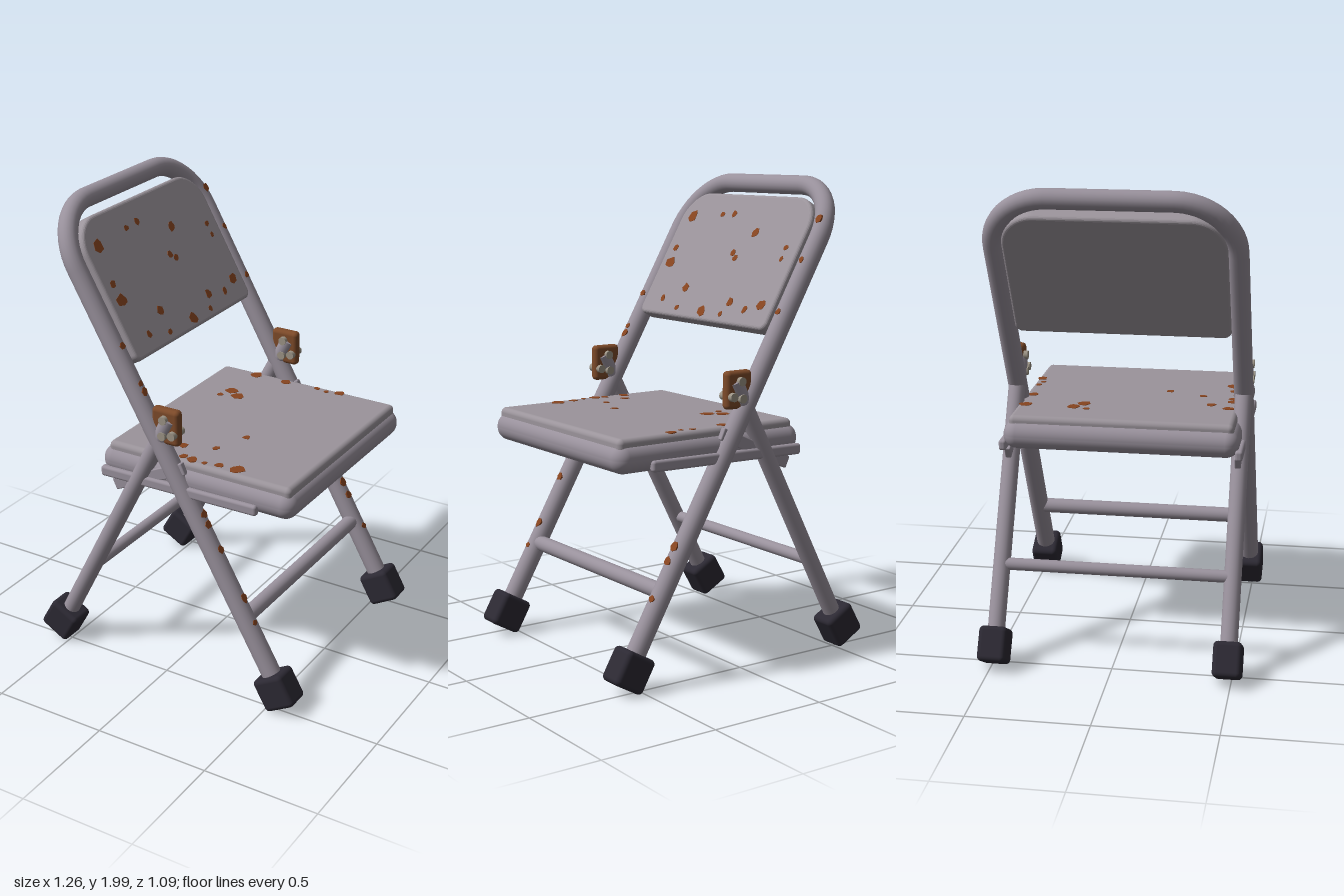
import * as THREE from 'three';
import { RoundedBoxGeometry } from 'three/addons/geometries/RoundedBoxGeometry.js';

const mat = (color) => new THREE.MeshStandardMaterial({ color });
const paint = mat(0x99919c), seatPaint = mat(0x9b949b), rubber = mat(0x2c2933);
const rust = mat(0x87441f), clipRust = mat(0x7d4a29), steel = mat(0x9c9486);

let seed = 7;
const rand = () => (seed = (seed * 16807) % 2147483647) / 2147483647;

function add(parent, name, geometry, material, x = 0, y = 0, z = 0) {
  const mesh = new THREE.Mesh(geometry, material);
  mesh.name = name;
  mesh.position.set(x, y, z);
  parent.add(mesh);
  return mesh;
}

// Round bar between two points
function bar(parent, name, a, b, r, material = paint) {
  const from = new THREE.Vector3(...a), to = new THREE.Vector3(...b);
  const mesh = add(parent, name, new THREE.CylinderGeometry(r, r, from.distanceTo(to), 24), material);
  mesh.position.copy(from).add(to).multiplyScalar(0.5);
  mesh.quaternion.setFromUnitVectors(new THREE.Vector3(0, 1, 0), to.sub(from).normalize());
  return mesh;
}

// Irregular thin flake facing +z
function flake(r, depth) {
  const points = [], n = 6 + Math.floor(rand() * 3);
  for (let i = 0; i < n; i++) {
    const a = (i + 0.5 * rand()) / n * Math.PI * 2, q = r * (0.75 + 0.4 * rand());
    points.push(new THREE.Vector2(Math.cos(a) * q, Math.sin(a) * q));
  }
  return new THREE.ExtrudeGeometry(new THREE.Shape(points), { depth, bevelEnabled: false });
}

// Panel in the back plane with wide top corners and small bottom ones
function panel(halfWidth, bottom, top, rTop, rBottom, depth, bevel) {
  const w = halfWidth - bevel, b = bottom + bevel, t = top - bevel;
  const s = new THREE.Shape();
  s.moveTo(-w + rBottom, b);
  s.lineTo(w - rBottom, b);
  s.absarc(w - rBottom, b + rBottom, rBottom, -Math.PI / 2, 0);
  s.absarc(w - rTop, t - rTop, rTop, 0, Math.PI / 2);
  s.absarc(-w + rTop, t - rTop, rTop, Math.PI / 2, Math.PI);
  s.absarc(-w + rBottom, b + rBottom, rBottom, Math.PI, Math.PI * 1.5);
  return new THREE.ExtrudeGeometry(s, {
    depth: depth - 2 * bevel, bevelThickness: bevel, bevelSize: bevel, bevelSegments: 4, curveSegments: 12,
  }).translate(0, 0, bevel).rotateY(Math.PI / 2);
}

export function createModel() {
  const chair = new THREE.Group();
  chair.name = 'foldingChair';

  // Leaning frame: local y runs up the tube, local x points forward
  const lean = Math.atan2(1.06, 1.86), c = Math.cos(lean);
  const back = new THREE.Group();
  back.name = 'backFrame';
  back.position.set(0.54, 0.1, 0);
  back.rotation.z = lean;
  chair.add(back);

  // Continuous bent tube: both front legs and the top hoop
  const Z = 0.485, top = 2.14, R = 0.24;
  const path = new THREE.CurvePath();
  const v = (y, z) => new THREE.Vector3(0, y, z);
  const k = R * 0.448;
  path.add(new THREE.LineCurve3(v(0, Z), v(top - R, Z)));
  path.add(new THREE.CubicBezierCurve3(v(top - R, Z), v(top - k, Z), v(top, Z - k), v(top, Z - R)));
  path.add(new THREE.LineCurve3(v(top, Z - R), v(top, R - Z)));
  path.add(new THREE.CubicBezierCurve3(v(top, R - Z), v(top, k - Z), v(top - k, -Z), v(top - R, -Z)));
  path.add(new THREE.LineCurve3(v(top - R, -Z), v(0, -Z)));
  add(back, 'bentTube', new THREE.TubeGeometry(path, 160, 0.041, 20), paint);

  // Thick backrest and the front crossbar
  add(back, 'backrest', panel(0.447, 1.458, 2.065, 0.13, 0.02, 0.07, 0.014), seatPaint, -0.025);
  bar(back, 'frontCrossbar', [0, 0.33, -Z], [0, 0.33, Z], 0.033);

  // Rust on the backrest: z, height, size
  const backRust = [
    [0.36, 1.81, 0.03], [0.15, 1.825, 0.015], [0.07, 1.83, 0.016], [-0.13, 1.76, 0.024], [-0.04, 1.67, 0.016],
    [-0.07, 1.65, 0.017], [-0.37, 1.71, 0.014], [-0.37, 1.665, 0.013], [0.38, 1.67, 0.02], [0.375, 1.605, 0.03],
    [0.18, 1.51, 0.021], [0.31, 1.455, 0.016], [0.18, 1.425, 0.014], [0, 1.425, 0.026], [-0.165, 1.475, 0.025],
    [-0.28, 1.455, 0.017], [-0.375, 1.48, 0.028], [-0.135, 1.425, 0.013],
  ];
  for (const [z, y, r] of backRust)
    add(back, 'backrestRust', flake(r, 0.004).rotateY(Math.PI / 2), rust, 0.0425, (y - 0.122) / c, z);

  // Rust on the tubes: side, height
  const tubeRust = [[1, 1.465], [1, 1.32], [1, 1.29], [1, 0.81], [1, 0.77], [1, 0.67], [1, 0.475], [1, 0.38],
    [-1, 1.83], [-1, 1.67], [-1, 1.465], [-1, 0.565], [-1, 0.51], [-1, 0.37]];
  for (const [s, y] of tubeRust)
    add(back, 'tubeRust', flake(0.012 + 0.009 * rand(), 0.008).rotateY(Math.PI / 2), rust,
      0.034, (y - 0.12) / c, s * Z + 0.01 * (rand() - 0.5));

  // Seat: rolled pan with a thinner top pad
  add(chair, 'seatPan', new RoundedBoxGeometry(0.907, 0.118, 0.984, 6, 0.056), paint, 0.134, 0.933, 0);
  add(chair, 'seatPad', new RoundedBoxGeometry(0.855, 0.07, 0.936, 4, 0.022), seatPaint, 0.139, 0.981, 0);

  // Rust on the seat: x, z, size
  const seatRust = [
    [-0.105, -0.43, 0.03], [0.045, -0.43, 0.025], [0.31, -0.445, 0.021], [0.2, -0.44, 0.014], [0.25, -0.43, 0.011],
    [-0.11, -0.225, 0.03], [-0.06, -0.19, 0.03], [-0.135, -0.165, 0.016], [0.185, 0.15, 0.017], [0, 0.345, 0.022],
    [0.13, 0.3, 0.018], [-0.045, 0.425, 0.027], [0.055, 0.43, 0.018], [0.1, 0.435, 0.025], [0.22, 0.425, 0.02],
    [0.3, 0.42, 0.032], [0.16, 0.44, 0.012],
  ];
  for (const [x, z, r] of seatRust)
    add(chair, 'seatRust', flake(r, 0.004).rotateX(-Math.PI / 2), rust, x, 1.0138, z);

  // Rear legs and their crossbar
  bar(chair, 'rearCrossbar', [-0.385, 0.4, -Z], [-0.385, 0.4, Z], 0.026);
  for (const s of [-1, 1]) {
    const z = s * Z;
    bar(chair, 'rearLeg', [-0.535, 0.1, z], [0.03, 1.2, z], 0.036);

    // Rubber feet
    for (const f of [-1, 1]) {
      const foot = add(chair, f > 0 ? 'frontFoot' : 'rearFoot',
        new RoundedBoxGeometry(0.144, 0.146, 0.118, 4, 0.02), rubber, f * 0.54, 0.098, z);
      foot.rotation.z = f * lean;
    }

    // Slide rail along the seat side and the folding link
    const rail = add(chair, 'seatRail', new RoundedBoxGeometry(0.74, 0.046, 0.032, 4, 0.012), paint, 0.065, 0.896, s * 0.492);
    rail.rotation.z = 0.014;
    const link = add(chair, 'foldingLink', new RoundedBoxGeometry(0.37, 0.052, 0.026, 2, 0.005), paint, -0.077, 0.916, s * 0.483);
    link.rotation.z = 0.43;

    // Rusty pivot clip with its pins
    add(chair, 'pivotClip', new RoundedBoxGeometry(0.127, 0.155, 0.044, 4, 0.018), clipRust, 0.0145, 1.165, z);
    for (const [x, y] of [[0.015, 1.2], [0.055, 1.14], [0.01, 1.13]])
      bar(chair, 'pivotPin', [x, y, z - 0.04], [x, y, z + 0.04], 0.018, steel);
  }
  return chair;
}
